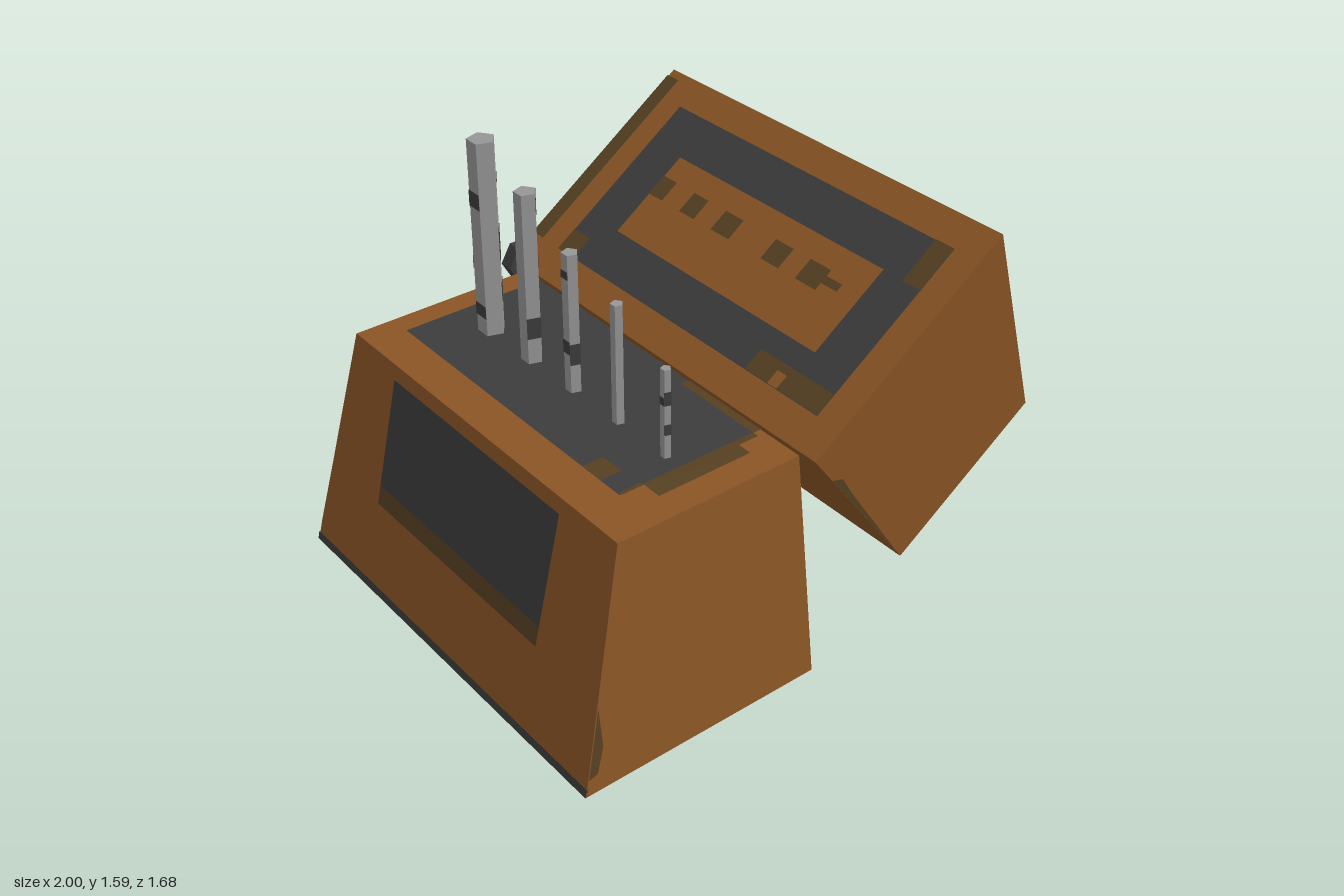
import * as THREE from 'three';

export function createModel() {
  const group = new THREE.Group();
  const mat = (name, color) => {
    const m = new THREE.MeshStandardMaterial({ color, side: THREE.DoubleSide, flatShading: true });
    m.name = name;
    return m;
  };
  const wood = mat('wood', 0x8a5525);
  const dark = mat('dark lining', 0x3c3c3c);
  const stain = mat('stain', 0x564022);
  const steel = mat('steel', 0x969696);

  const add = (name, geometry, material, parent = group) => {
    const mesh = new THREE.Mesh(geometry, material);
    mesh.name = name;
    parent.add(mesh);
    return mesh;
  };

  // Flat quads from corner lists
  const quads = (list) => {
    const pos = [];
    for (const [a, b, c, d] of list) pos.push(...a, ...b, ...c, ...a, ...c, ...d);
    const g = new THREE.BufferGeometry();
    g.setAttribute('position', new THREE.Float32BufferAttribute(pos, 3));
    g.computeVertexNormals();
    return g;
  };

  // Shell joining two rings, each optionally capped
  const shell = (a, b, capA, capB) => {
    const list = a.map((p, i) => [p, a[(i + 1) % 4], b[(i + 1) % 4], b[i]]);
    if (capA) list.push([...a].reverse());
    if (capB) list.push(b);
    return quads(list);
  };

  // Rectangles [a0, a1, b0, b1] painted on a surface given as (a, b) => point
  const paint = (name, material, surface, rects) =>
    add(name, quads(rects.map(([a0, a1, b0, b1]) =>
      [surface(a0, b0), surface(a0, b1), surface(a1, b1), surface(a1, b0)])), material);

  const WB = -0.832, WF = 0.838, NB = -0.75, NF = 0.757; // wide and narrow ends in z
  const ring = ([x0, y0], [x1, y1], zb, zf) =>
    [[x0, y0, zf], [x1, y1, zf], [x1, y1, zb], [x0, y0, zb]];

  // Base, open underneath, and hinged lid
  add('base', shell(ring([-1, 0], [-0.058, 0], WB, WF),
    ring([-0.8, 0.85], [-0.085, 0.85], NB, NF), false, true), wood);
  add('lid', shell(ring([0.42, 0.2], [1, 0.6], NB, NF),
    ring([-0.09, 0.87], [0.68, 1.415], WB, WF), true, true), wood);

  // Lining of the base top
  const top = (o) => (x, z) => [x, 0.85 + o, z];
  paint('baseLining', dark, top(0.003), [[-0.655, -0.088, -0.655, 0.575]]);
  paint('baseLiningUnderside', dark, top(-0.003), [[-0.655, -0.088, -0.655, 0.575]]);
  paint('baseTopStains', stain, top(0.005), [
    [-0.655, -0.575, 0.385, 0.48], [-0.565, -0.2, 0.575, 0.655],
    [-0.65, -0.565, 0.565, 0.58], [-0.12, -0.088, 0.21, 0.575], [-0.2, -0.12, 0.575, 0.6],
  ]);

  // Sloping end panel, seen from both sides of the thin wall
  for (const o of [-0.003, 0.003]) {
    const wall = (y, z) => [-1 + 0.2 * y / 0.85 + o, y, z];
    paint('endPanel', dark, wall, [[0.4, 0.8, -0.48, 0.48], [0, 0.03, WB, WF]]);
    paint('endPanelStain', stain, wall, [[0.33, 0.4, -0.48, 0.48]]);
  }

  // Framed inside of the lid
  const inner = (o) => (x, z) => [x, 0.87 + 0.708 * (x + 0.09) + o, z];
  paint('lidFrame', dark, inner(0.004), [
    [0.01, 0.15, -0.67, 0.73], [0.44, 0.58, -0.67, 0.73],
    [0.15, 0.44, -0.67, -0.495], [0.15, 0.44, 0.56, 0.73],
  ]);
  paint('lidStains', stain, inner(0.007), [
    [0.01, 0.085, -0.67, -0.575], [0.01, 0.65, WB, -0.768],
    [0.01, 0.08, 0.38, 0.49], [0.01, 0.08, 0.535, 0.73], [0.055, 0.08, 0.49, 0.535],
    [0.435, 0.58, 0.65, 0.73],
    [0.295, 0.365, -0.495, -0.42], [0.295, 0.365, -0.32, -0.24], [0.295, 0.365, -0.145, -0.05],
    [0.295, 0.365, 0.12, 0.21], [0.295, 0.365, 0.295, 0.395], [0.32, 0.345, 0.395, 0.47],
  ]);
  paint('lidWoodSpot', wood, inner(0.007), [[0.01, 0.055, 0.49, 0.535]]);

  // Worn slivers along the front and back edges
  for (const side of [1, -1]) {
    const z = (t) => 0.003 + side * (0.835 - 0.082 * t + 0.003);
    const basePoint = (x, y) => [x, y, z(y / 0.85)];
    const lidPoint = (x, y) => [x, y, z(((x + 0.09) * 0.577 - (y - 0.87) * 0.817) / 0.845)];
    add('baseEdgeStain', quads([[basePoint(-0.985, 0.06), basePoint(-0.95, 0.07),
      basePoint(-0.92, 0.16), basePoint(-0.925, 0.31)]]), stain);
    add('lidEdgeStain', quads([[lidPoint(0.0, 0.752), lidPoint(0.05, 0.735),
      lidPoint(0.1, 0.655), lidPoint(0.41, 0.213)]]), stain);
  }

  // Hexagonal hinge knob
  const hinge = add('hinge', new THREE.CylinderGeometry(0.082, 0.082, 0.056, 6, 1, false, Math.PI / 2), dark);
  hinge.rotation.x = Math.PI / 2;
  hinge.position.set(-0.048, 0.855, -0.813);

  // Five-sided pegs: z, radius, top, dark patches [face, y0, y1]
  const pegs = [
    [-0.475, 0.05, 1.585, [[4, 1.41, 1.45], [2, 1.34, 1.4], [3, 1.1, 1.15], [2, 0.92, 0.97],
      [3, 1.36, 1.39], [0, 1.13, 1.26], [0, 0.98, 1.05]]],
    [-0.23, 0.039, 1.49, [[0, 1.4, 1.488], [4, 1.4, 1.488], [0, 1.21, 1.25], [0, 0.94, 1.06], [1, 0.95, 1.03]]],
    [0.01, 0.029, 1.37, [[1, 0.96, 1.04], [2, 1.0, 1.05], [3, 1.0, 1.05], [2, 1.28, 1.31], [3, 1.28, 1.31]]],
    [0.255, 0.022, 1.295, [[3, 0.93, 0.96]]],
    [0.5, 0.018, 1.18, [[0, 1.05, 1.1], [1, 1.05, 1.1], [0, 0.94, 0.98], [1, 0.94, 0.98],
      [2, 1.05, 1.08], [3, 1.05, 1.08]]],
  ];
  for (const [z, r, h, patches] of pegs) {
    const peg = new THREE.Group();
    peg.name = 'peg';
    peg.position.set(-0.415, 0, z);
    group.add(peg);
    const rod = add('rod', new THREE.CylinderGeometry(r, r, h - 0.85, 5, 1, false, Math.PI / 2), steel, peg);
    rod.position.y = (h + 0.85) / 2;
    const at = (k, y) => {
      const a = k * Math.PI * 0.4;
      return [(r + 0.002) * Math.cos(a), y, (r + 0.002) * Math.sin(a)];
    };
    add('patches', quads(patches.map(([k, y0, y1]) =>
      [at(k, y0), at(k, y1), at(k + 1, y1), at(k + 1, y0)])), dark, peg);
  }
  return group;
}
